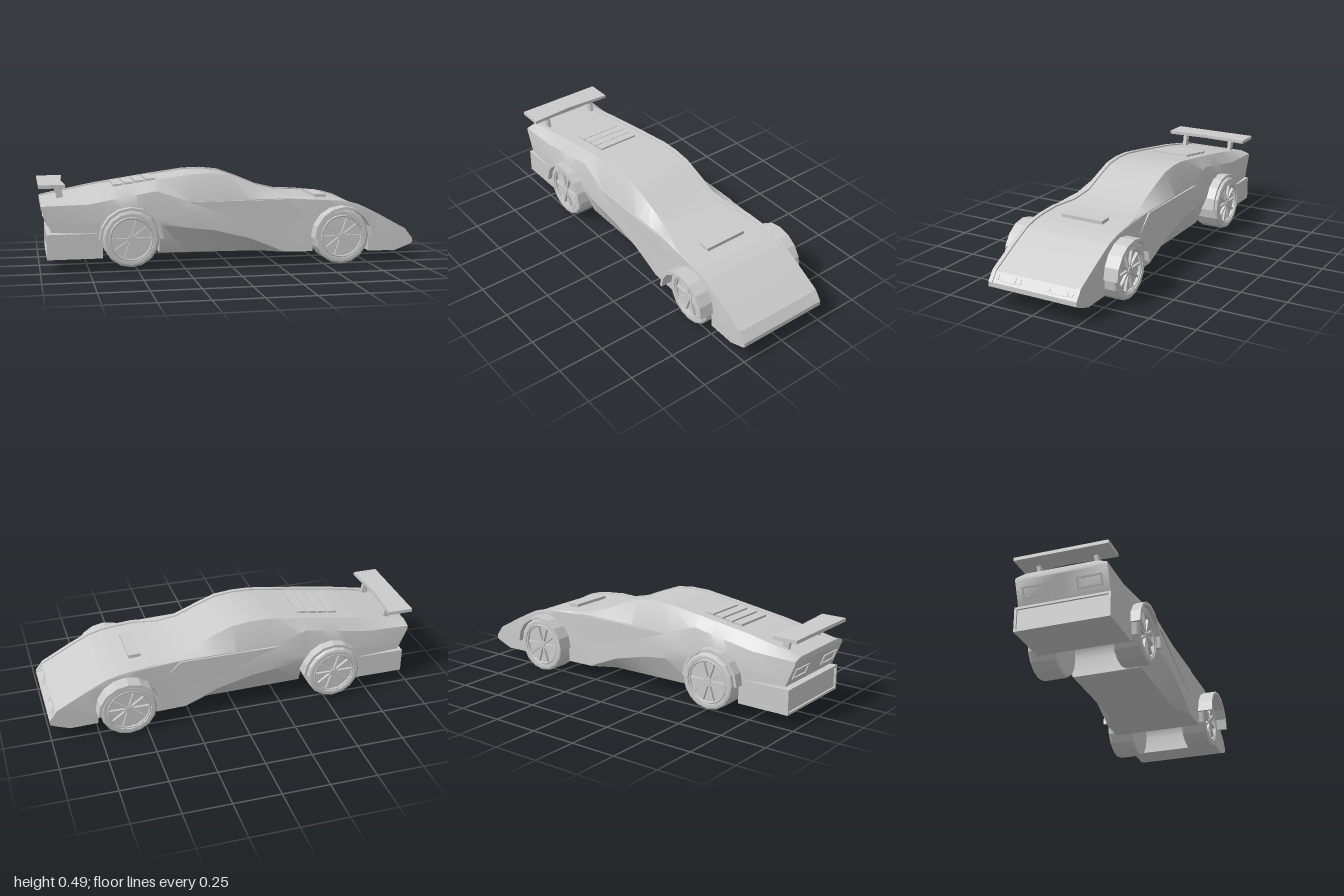
import * as THREE from 'three';
import { toCreasedNormals } from 'three/addons/utils/BufferGeometryUtils.js';

const grey = new THREE.MeshStandardMaterial({ color: 0xcccccc, side: THREE.DoubleSide });

// Piecewise linear lookup in a small table of [x, value]
function lerpTable(t, x) {
  if (x <= t[0][0]) return t[0][1];
  for (let i = 1; i < t.length; i++) {
    if (x <= t[i][0]) {
      const [a, va] = t[i - 1], [b, vb] = t[i];
      return va + (vb - va) * (x - a) / (b - a);
    }
  }
  return t[t.length - 1][1];
}

// Lengthwise curves of the body
const TOP = [[-0.99, 0.36], [-0.87, 0.385], [-0.69, 0.42], [-0.39, 0.465], [-0.2, 0.491], [-0.1, 0.493], [0, 0.482],
  [0.1, 0.445], [0.22, 0.395], [0.33, 0.367], [0.45, 0.357], [0.54, 0.347], [0.63, 0.335], [0.7, 0.315], [0.81, 0.26], [0.96, 0.178], [1, 0.125]];
const TOP_W = [[-0.99, 0.183], [0.22, 0.183], [0.33, 0.205], [0.45, 0.243], [0.56, 0.252], [1, 0.254]];
const BELT = [[-0.99, 0.345], [-0.75, 0.35], [-0.4, 0.41], [-0.23, 0.357], [0.3, 0.357], [0.5, 0.345], [0.56, 0.345]];
const BELT_W = [[-0.99, 0.235], [-0.4, 0.225], [-0.23, 0.24], [0.3, 0.243], [0.56, 0.254], [1, 0.254]];
const SIDE_W = [[-0.99, 0.236], [-0.6, 0.245], [0.3, 0.247], [0.56, 0.254], [1, 0.254]];
const SILL = [[-0.38, 0.235], [-0.1, 0.2], [0.1, 0.15], [0.28, 0.075]];
const INSET = [[-0.39, 0], [-0.38, 0.06], [0.15, 0.06], [0.28, 0]];
const FLOOR = [[-0.99, 0.33], [-0.94, 0.21], [-0.69, 0.2], [-0.5, 0.08], [-0.37, 0.08], [0.43, 0.07], [0.9, 0.06], [0.98, 0.09], [1, 0.1]];
const AXLES = [{ name: 'rear', x: -0.535, y: 0.17, out: 0.295, r: 0.148 }, { name: 'front', x: 0.595, y: 0.15, out: 0.332, r: 0.15 }];
const WELL = 0.155;

function floorY(x) {
  for (const a of AXLES) {
    const d = Math.abs(x - a.x);
    if (d <= WELL) return a.y + Math.sqrt(WELL * WELL - d * d);
  }
  return lerpTable(FLOOR, x);
}

// Half cross-section from roof centre to floor centre, as [y, z]
function section(x) {
  const top = lerpTable(TOP, x), w = lerpTable(TOP_W, x), floor = floorY(x);
  const belt = Math.min(lerpTable(BELT, x), top - 0.005);
  const mid = Math.max(Math.min(0.27, belt - 0.005), floor + 0.005);
  const sill = Math.min(Math.max(lerpTable(SILL, x), floor), mid);
  const side = lerpTable(SIDE_W, x);
  return [[top - 0.007, 0], [top - 0.007, w - 0.023], [top, w - 0.022], [top, w],
    [belt, lerpTable(BELT_W, x)], [mid, side], [sill, side], [floor, side - lerpTable(INSET, x)], [floor, 0]];
}

function bodyGeometry() {
  const xs = new Set([TOP, TOP_W, BELT, SILL, INSET, FLOOR].flatMap(t => t.map(p => p[0])));
  for (const a of AXLES) {
    xs.add(a.x - WELL - 0.001).add(a.x + WELL + 0.001);
    for (let i = 0; i <= 12; i++) xs.add(a.x + WELL * 0.9999 * Math.cos(Math.PI * i / 12));
  }
  const stations = [...xs].sort((a, b) => a - b), pos = [], idx = [], n = 16;
  for (const x of stations) {
    const half = section(x);
    half.forEach(([y, z]) => pos.push(x, y, z));
    half.slice(1, 8).reverse().forEach(([y, z]) => pos.push(x, y, -z));
  }
  const quad = (a, b, c, d) => idx.push(a, b, c, a, c, d);
  const last = (stations.length - 1) * n;
  for (let i = 0; i < last; i += n) {
    for (let j = 0; j < n; j++) {
      const k = (j + 1) % n;
      quad(i + j, i + k, i + n + k, i + n + j);
    }
  }
  for (let j = 0; j < 8; j++) {
    const m = (n - j) % n, k = n - j - 1;
    quad(last + j, last + j + 1, last + k, last + m);
    quad(m, k, j + 1, j);
  }
  const g = new THREE.BufferGeometry();
  g.setAttribute('position', new THREE.Float32BufferAttribute(pos, 3));
  g.setIndex(idx);
  return toCreasedNormals(g, 0.4);
}

export function createModel() {
  const car = new THREE.Group();
  car.name = 'car';
  const add = (name, geo, parent = car) => {
    const m = new THREE.Mesh(geo, grey);
    m.name = name;
    parent.add(m);
    return m;
  };
  const box = (name, sx, sy, sz, x, y, z, tilt = 0, parent = car) => {
    const m = add(name, new THREE.BoxGeometry(sx, sy, sz), parent);
    m.position.set(x, y, z);
    m.rotation.z = tilt;
    return m;
  };
  const polygon = pts => new THREE.Shape(pts.map(p => new THREE.Vector2(...p)));
  const extrude = (shape, depth, curveSegments = 4) =>
    new THREE.ExtrudeGeometry(shape, { depth, bevelEnabled: false, curveSegments });

  add('body', bodyGeometry());

  // Wheels: tyre with a recessed face, rim ring, hub and ten spokes
  function wheel(r, h) {
    const g = new THREE.Group();
    const pts = [[0, -h], [r - 0.014, -h], [r - 0.004, -h + 0.004], [r, -h + 0.014], [r, h - 0.014], [r - 0.004, h - 0.004],
      [r - 0.014, h], [0.118, h], [0.113, h - 0.022], [0, h - 0.022]].map(p => new THREE.Vector2(...p));
    const tyre = new THREE.LatheGeometry(pts, 16).rotateX(Math.PI / 2);
    add('tyre', toCreasedNormals(tyre, 0.3), g);
    add('rim', new THREE.TorusGeometry(0.11, 0.006, 6, 24), g).position.z = h - 0.007;
    add('hub', new THREE.CylinderGeometry(0.018, 0.022, 0.02, 12).rotateX(Math.PI / 2), g).position.z = h - 0.014;
    for (let i = 0; i < 10; i++) {
      const a = i * Math.PI / 5;
      box('spoke', 0.095, 0.011, 0.016, 0.06 * Math.cos(a), 0.06 * Math.sin(a), h - 0.016, a, g);
    }
    return g;
  }

  for (const a of AXLES) {
    for (const s of [1, -1]) {
      const w = wheel(a.r, 0.073);
      w.name = a.name + 'Wheel';
      w.position.set(a.x, a.y, s * 0.2225 - 0.0165);
      if (s < 0) w.rotation.y = Math.PI;
      car.add(w);
      // Half-ring flare above the wheel
      const ring = new THREE.Shape();
      ring.absarc(0, 0, 0.166, 0, Math.PI, false);
      ring.absarc(0, 0, 0.151, Math.PI, 0, true);
      const depth = a.out - 0.2;
      const flare = add(a.name + 'WheelArch', extrude(ring, depth));
      flare.position.set(a.x, a.y, s > 0 ? 0.2 : -0.2 - depth);
    }
  }

  // Rear bumper with a raised frame
  box('rearBumper', 0.265, 0.13, 0.48, -0.8225, 0.135, 0);
  box('bumperMount', 0.2, 0.04, 0.4, -0.8, 0.2, 0);
  for (const s of [1, -1]) {
    box('bumperFrameSide', 0.285, 0.13, 0.012, -0.8225, 0.135, s * 0.239);
    box('bumperFrameRail', 0.012, 0.012, 0.48, -0.959, 0.135 + s * 0.059, 0);
  }

  // Rear wing, slightly bowed in plan
  const wing = add('rearWing', extrude(polygon([[-1, -0.245], [-0.865, -0.245], [-0.88, 0], [-0.865, 0.245], [-1, 0.245]]), 0.018));
  wing.rotation.x = Math.PI / 2;
  wing.position.y = 0.456;
  for (const s of [1, -1]) {
    const post = add('wingPost', extrude(polygon([[-0.92, 0.44], [-0.905, 0.37], [-0.87, 0.37], [-0.885, 0.44]]), 0.02));
    post.position.z = s * 0.15 - 0.01;
  }

  // Engine cover louvres and bonnet scoop
  for (let i = 0; i < 4; i++) {
    const x = -0.585 + i * 0.058;
    box('roofLouvre', 0.05, 0.012, 0.23, x, lerpTable(TOP, x) - 0.002, 0, 0.09);
  }
  box('bonnetScoop', 0.065, 0.018, 0.24, 0.517, 0.352, 0, -0.02);

  for (const s of [1, -1]) {
    // Side vent: outline frame with upright slats
    const outer = [[-0.23, 0.352], [-0.06, 0.288], [0.15, 0.218], [0.29, 0.203], [0.39, 0.272], [0.3, 0.352]];
    const frame = polygon(outer);
    frame.holes.push(new THREE.Path(outer.map(([x, y]) =>
      new THREE.Vector2(0.12 + (x - 0.12) * 0.95, 0.285 + (y - 0.285) * 0.9))));
    add('ventFrame', extrude(frame, 0.012)).position.z = s * 0.245 - 0.006;
    for (let i = 0; i < 6; i++) {
      const x = -0.04 + i * 0.065;
      const low = lerpTable(outer.slice(0, 5), x) + 0.006;
      box('ventSlat', 0.009, 0.346 - low, 0.01, x, (0.346 + low) / 2, s * 0.245);
    }
    // Headlights, three lenses a side
    for (const [z, w, h] of [[0.214, 0.02, 0.024], [0.15, 0.09, 0.032], [0.085, 0.022, 0.024]]) {
      box('headlight', 0.01, h, w, 0.976, 0.146, s * z, 0.67);
    }
    // Tail light frames on the sloping rear face
    const tail = new THREE.Group();
    tail.name = 'tailLight';
    tail.position.set(-0.966, 0.27, s * 0.14);
    tail.rotation.z = 0.39;
    for (const e of [1, -1]) {
      box('tailLightBar', 0.012, 0.008, 0.13, 0, e * 0.025, 0, 0, tail);
      box('tailLightEnd', 0.012, 0.058, 0.008, 0, 0, e * 0.061, 0, tail);
    }
    car.add(tail);
  }
  return car;
}
